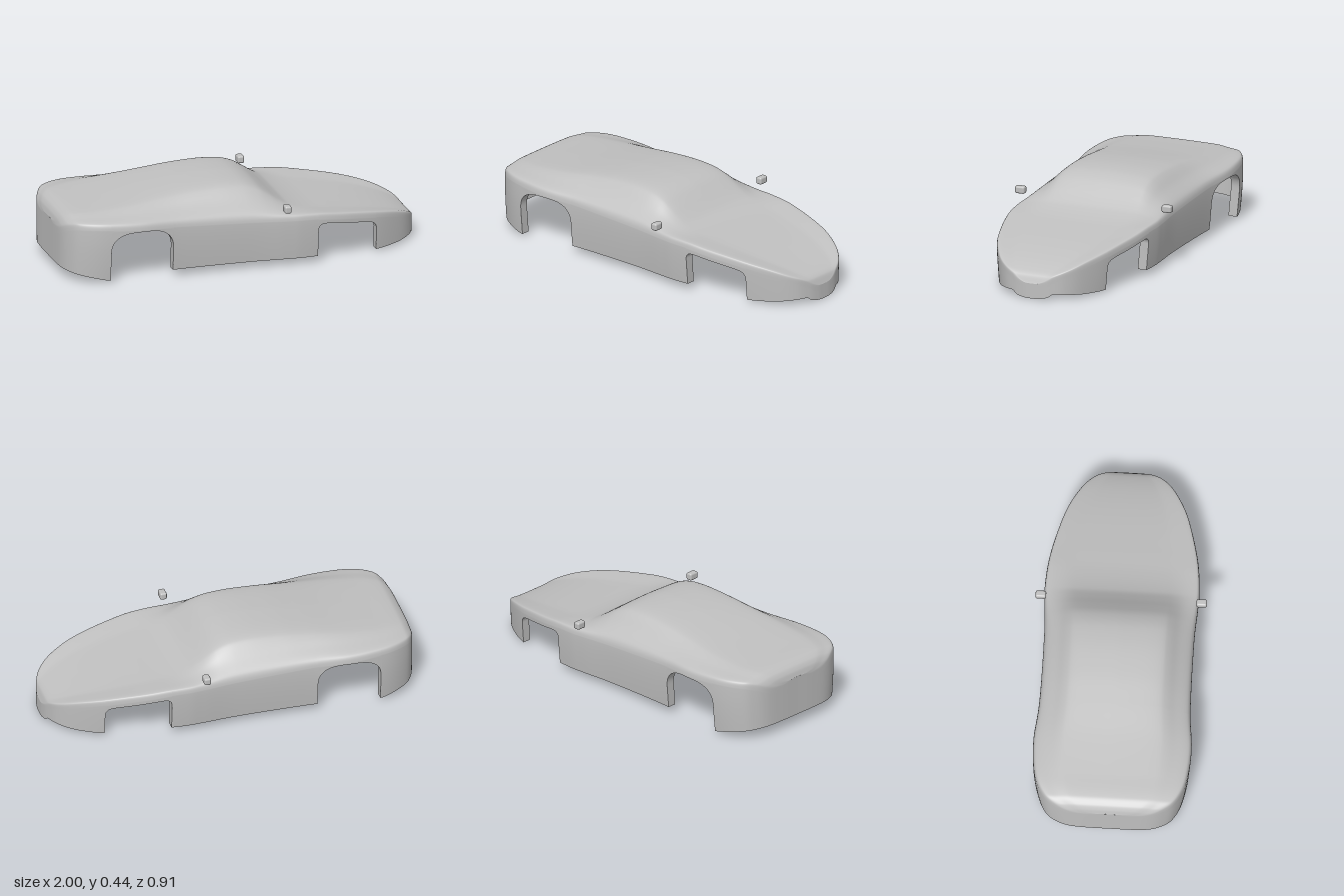
import * as THREE from 'three';
import { RoundedBoxGeometry } from 'three/addons/geometries/RoundedBoxGeometry.js';

const curve = (pts) => new THREE.SplineCurve(pts.map(([x, y]) => new THREE.Vector2(x, y)));

// Interpolates a short table of [x, value] smoothly (monotone in x).
function table(pts) {
  const n = pts.length;
  const d = (i) => (pts[i + 1][1] - pts[i][1]) / (pts[i + 1][0] - pts[i][0]);
  const m = pts.map((p, i) => {
    if (i === 0) return d(0);
    if (i === n - 1) return d(n - 2);
    const a = d(i - 1), b = d(i);
    return a * b <= 0 ? 0 : (2 * a * b) / (a + b);
  });
  return (x) => {
    if (x <= pts[0][0]) return pts[0][1];
    if (x >= pts[n - 1][0]) return pts[n - 1][1];
    let i = 0;
    while (x > pts[i + 1][0]) i++;
    const h = pts[i + 1][0] - pts[i][0], t = (x - pts[i][0]) / h;
    return pts[i][1] * (1 + 2 * t) * (1 - t) ** 2 + m[i] * h * t * (1 - t) ** 2
      + pts[i + 1][1] * t * t * (3 - 2 * t) + m[i + 1] * h * t * t * (t - 1);
  };
}

// Outline seen from above: half width along the length, nose at +x
const plan = curve([
  [-1, 0], [-1, 0.12], [-0.993, 0.22], [-0.97, 0.29], [-0.93, 0.345], [-0.85, 0.39],
  [-0.75, 0.412], [-0.6, 0.42], [-0.38, 0.401], [0, 0.398], [0.2, 0.408], [0.3, 0.41],
  [0.45, 0.395], [0.6, 0.362], [0.75, 0.315], [0.88, 0.245], [0.95, 0.18],
  [0.985, 0.11], [0.998, 0.05], [1, 0],
]).getPoints(190).map((p) => [p.x, p.y]);

// Heights along the length: centre line, belt ridge and lower edge
const centreY = table([
  [-1, 0.28], [-0.99, 0.31], [-0.97, 0.335], [-0.93, 0.354], [-0.8, 0.367], [-0.6, 0.39],
  [-0.4, 0.42], [-0.25, 0.439], [-0.1, 0.447], [0, 0.441], [0.08, 0.418], [0.15, 0.373],
  [0.2, 0.336], [0.26, 0.3], [0.38, 0.268], [0.5, 0.25], [0.7, 0.218], [0.85, 0.184],
  [0.95, 0.148], [0.98, 0.128], [1, 0.085],
]);
const beltY = table([
  [-1, 0.265], [-0.99, 0.292], [-0.97, 0.316], [-0.93, 0.332], [-0.85, 0.335], [-0.6, 0.325],
  [-0.2, 0.305], [0.2, 0.287], [0.38, 0.28], [0.5, 0.265], [0.7, 0.235], [0.85, 0.2],
  [0.95, 0.157], [0.98, 0.13], [1, 0.085],
]);
const sillY = table([
  [-1, 0.06], [-0.85, 0.032], [-0.77, 0.018], [-0.425, 0.042], [0.38, 0.038], [0.73, 0.015],
  [0.85, 0.019], [0.95, 0.03], [0.98, 0.033], [0.99, 0.015], [1, 0.003],
]);

// Wheel openings
const arches = [
  { name: 'rearArchFlange', a: -0.77, b: -0.425,
    top: (x, u) => 0.17 + 0.112 * (1 - Math.abs(u) ** 3) ** (1 / 2.4) },
  { name: 'frontArchFlange', a: 0.38, b: 0.725,
    top: (x, u) => 0.227 - 0.15 * (x - 0.38) - 0.04 * (1 - (1 - Math.abs(u) ** 10) ** 0.5) },
];

const widthAt = (x) => {
  let i = 0;
  while (plan[i + 1][0] < x) i++;
  const [p, q] = [plan[i], plan[i + 1]];
  return p[1] + (q[1] - p[1]) * (x - p[0]) / (q[0] - p[0]);
};

// The side leans in slightly toward the sill
const sideZ = (w, y) => w * (1 - 0.05 * Math.max(0, (0.25 - y) / 0.25) ** 1.6);

function buildStations() {
  let list = plan.map(([x, w]) => ({ x, w, low: sillY(x) }));
  for (const arch of arches) {
    list = list.filter((s) => s.x < arch.a - 0.002 || s.x > arch.b + 0.002);
    arch.edge = [];
    for (let k = 0; k <= 32; k++) {
      const u = Math.sin((k / 32 - 0.5) * Math.PI);
      const x = arch.a + (arch.b - arch.a) * (u + 1) / 2;
      arch.edge.push({ x, w: widthAt(x), low: arch.top(x, u) });
    }
    const rim = [arch.a - 0.0006, arch.b + 0.0006].map((x) => ({ x, w: widthAt(x), low: sillY(x) }));
    const at = list.findIndex((s) => s.x > arch.b);
    list.splice(at, 0, rim[0], ...arch.edge, rim[1]);
    arch.edge = [rim[0], ...arch.edge, rim[1]];
  }
  return list;
}

// Half section from the lower edge up the side and over to the centre line
function halfSection({ x, w, low }) {
  const belt = beltY(x), h = centreY(x) - belt;
  const shoulder = Math.max(belt - 0.035, low + 0.004);
  const pts = [];
  for (let j = 0; j < 8; j++) {
    const y = low + (shoulder - low) * j / 8;
    pts.push([sideZ(w, y), y]);
  }
  const upper = curve([
    [sideZ(w, shoulder), shoulder], [w * 0.985, belt - 0.008], [w * 0.94, belt + h * 0.13],
    [w * 0.8, belt + h * 0.44], [w * 0.68, belt + h * 0.75], [w * 0.58, belt + h * 0.9],
    [w * 0.36, belt + h * 0.97], [0, belt + h],
  ]);
  return pts.concat(upper.getPoints(28).map((p) => [p.x, p.y]));
}

// Joins rows of equal length into a smooth surface
function loft(rows) {
  const n = rows[0].length, index = [];
  for (let i = 0; i < rows.length - 1; i++) {
    for (let j = 0; j < n - 1; j++) {
      const a = i * n + j, b = a + n;
      index.push(a, b, a + 1, b, b + 1, a + 1);
    }
  }
  const geometry = new THREE.BufferGeometry();
  geometry.setAttribute('position', new THREE.Float32BufferAttribute(rows.flat(2), 3));
  geometry.setIndex(index);
  geometry.computeVertexNormals();
  return geometry;
}

export function createModel() {
  const group = new THREE.Group();
  const paint = new THREE.MeshStandardMaterial({ color: 0xc0c0c0, side: THREE.DoubleSide });
  paint.name = 'bodyGrey';
  const add = (name, geometry) => {
    const mesh = new THREE.Mesh(geometry, paint);
    mesh.name = name;
    group.add(mesh);
    return mesh;
  };

  // Open-bottomed body shell
  const rows = buildStations().map((s) => {
    const half = halfSection(s);
    const other = half.slice(0, -1).reverse().map(([z, y]) => [-z, y]);
    return half.concat(other).map(([z, y]) => [s.x, y, z]);
  });
  add('bodyShell', loft(rows));

  for (const side of [1, -1]) {
    // Inward flanges around the wheel openings
    for (const arch of arches) {
      const strip = arch.edge.map(({ x, w, low }) => {
        const z = sideZ(w, low);
        const ends = [[x, low, side * z], [x, low, side * (z - 0.05)]];
        return side > 0 ? ends : ends.reverse();
      });
      add(arch.name, loft(strip));
    }
    // Door mirrors
    add('mirror', new RoundedBoxGeometry(0.037, 0.04, 0.056, 3, 0.01))
      .position.set(0.197, 0.333, side * 0.427);
  }
  return group;
}
